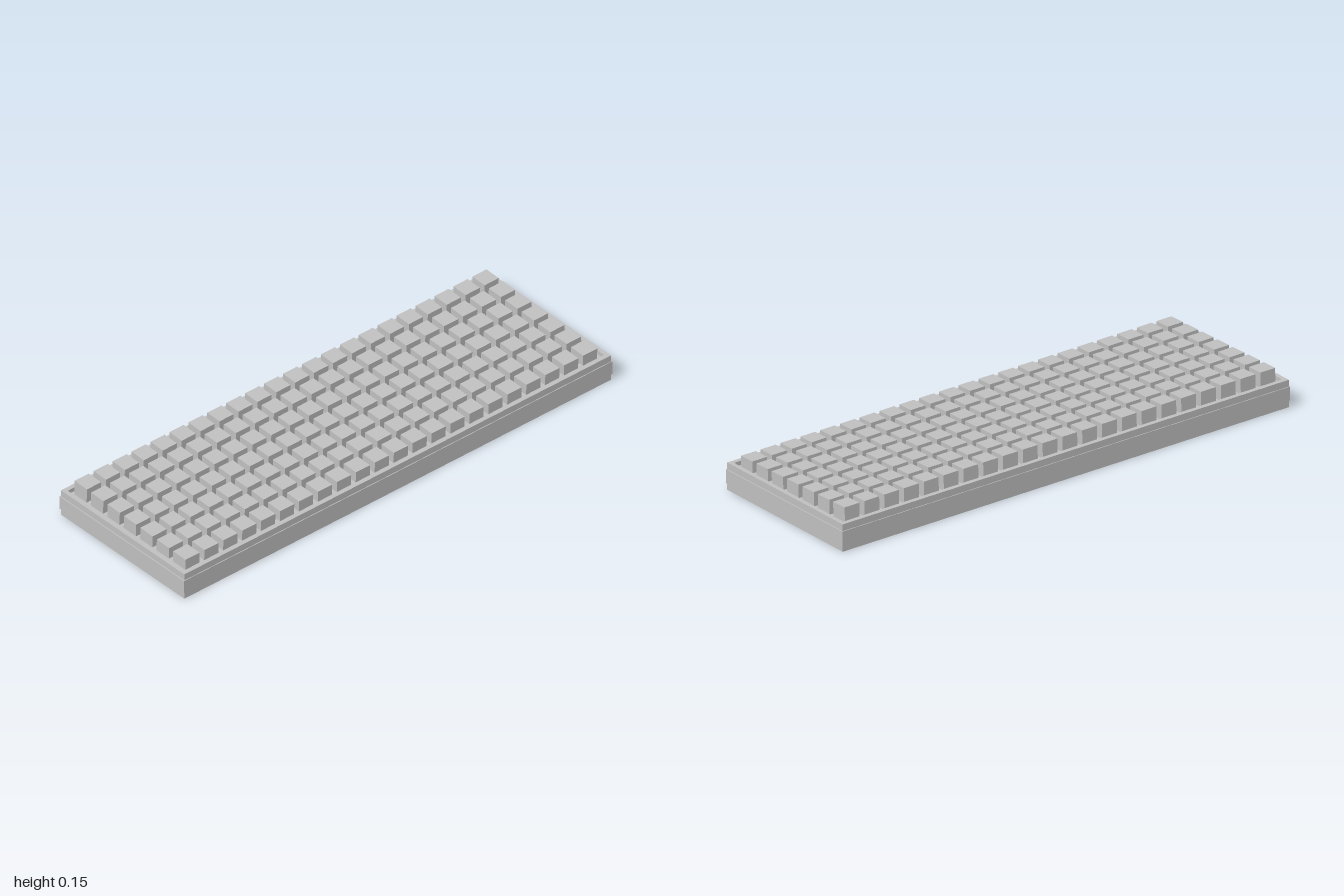
import * as THREE from 'three';

const grey = new THREE.MeshStandardMaterial({ color: 0xc0c0c0 });
grey.name = 'grey plastic';

function box(name, w, h, d, y) {
  const mesh = new THREE.Mesh(new THREE.BoxGeometry(w, h, d), grey);
  mesh.name = name;
  mesh.position.y = y + h / 2;
  return mesh;
}

// Rectangular ring lying flat, from y0 to y1
function frame(name, halfX, halfZ, innerX, innerZ, y0, y1) {
  const rect = (Type, x, z) => new Type([
    new THREE.Vector2(-x, -z), new THREE.Vector2(x, -z),
    new THREE.Vector2(x, z), new THREE.Vector2(-x, z),
  ]);
  const shape = rect(THREE.Shape, halfX, halfZ);
  shape.holes.push(rect(THREE.Path, innerX, innerZ));
  const geometry = new THREE.ExtrudeGeometry(shape, { depth: y1 - y0, bevelEnabled: false });
  geometry.rotateX(-Math.PI / 2).translate(0, y0, 0);
  const mesh = new THREE.Mesh(geometry, grey);
  mesh.name = name;
  return mesh;
}

export function createModel() {
  const model = new THREE.Group();
  model.name = 'keyboard';

  // Case: bottom rim, wider middle band, top rim
  model.add(frame('bottomRim', 0.332, 0.996, 0.293, 0.957, 0, 0.026));
  model.add(box('middleBand', 0.67, 0.054, 2, 0.026));
  model.add(frame('topRim', 0.332, 0.996, 0.314, 0.979, 0.08, 0.106));

  // Recessed bottom cover and key plate
  model.add(box('bottomCover', 0.62, 0.012, 1.95, 0.015));
  model.add(box('keyPlate', 0.63, 0.012, 1.96, 0.078));

  // Keys, tilted together as one bed
  const columns = 7, rows = 22, pitch = 0.0884, size = 0.066, height = 0.07;
  const keys = new THREE.Group();
  keys.name = 'keys';
  keys.position.y = 0.142;
  keys.rotation.z = -0.0265;
  const keyGeometry = new THREE.BoxGeometry(size, height, size);
  for (let c = 0; c < columns; c++) {
    for (let r = 0; r < rows; r++) {
      const key = new THREE.Mesh(keyGeometry, grey);
      key.name = 'key';
      key.position.set((c - (columns - 1) / 2) * pitch, -height / 2, (r - (rows - 1) / 2) * pitch);
      keys.add(key);
    }
  }
  model.add(keys);
  return model;
}
